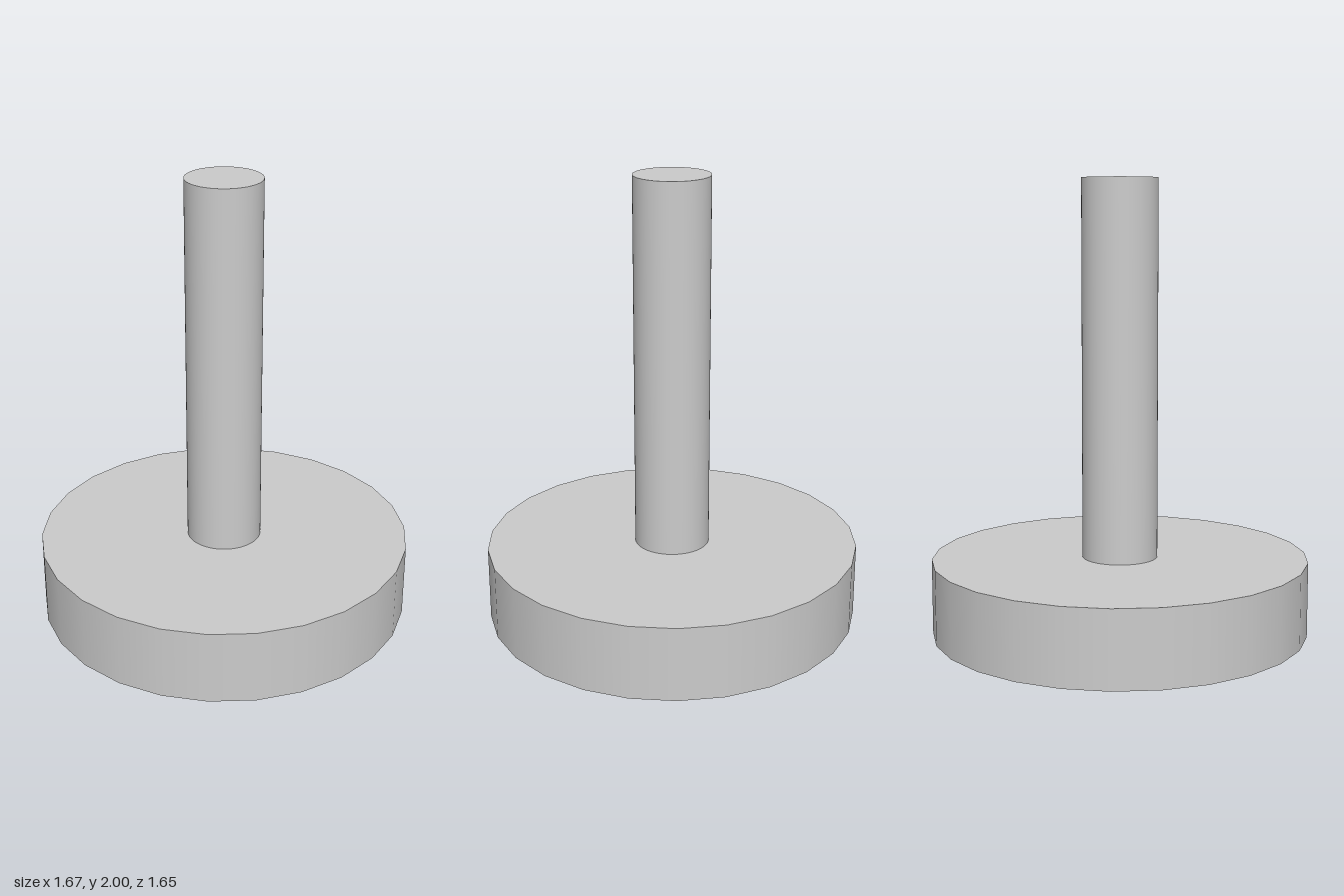
import * as THREE from 'three';

const material = new THREE.MeshStandardMaterial({ color: 0xcccccc });

// Upright cylinder standing on y = bottom, with a corner facing +x
function upright(name, radius, bottom, top, sides) {
  const geometry = new THREE.CylinderGeometry(radius, radius, top - bottom, sides, 1, false, Math.PI / 2);
  const mesh = new THREE.Mesh(geometry, material);
  mesh.name = name;
  mesh.position.y = (bottom + top) / 2;
  return mesh;
}

export function createModel() {
  const group = new THREE.Group();
  group.name = 'discWithStem';
  const baseTop = 1 / 3;

  // Wide disc with a visibly faceted rim
  group.add(upright('base', 5 / 6, 0, baseTop, 26));
  // Slim round post rising from the centre
  group.add(upright('stem', 1 / 6, baseTop, 2, 64));

  return group;
}
